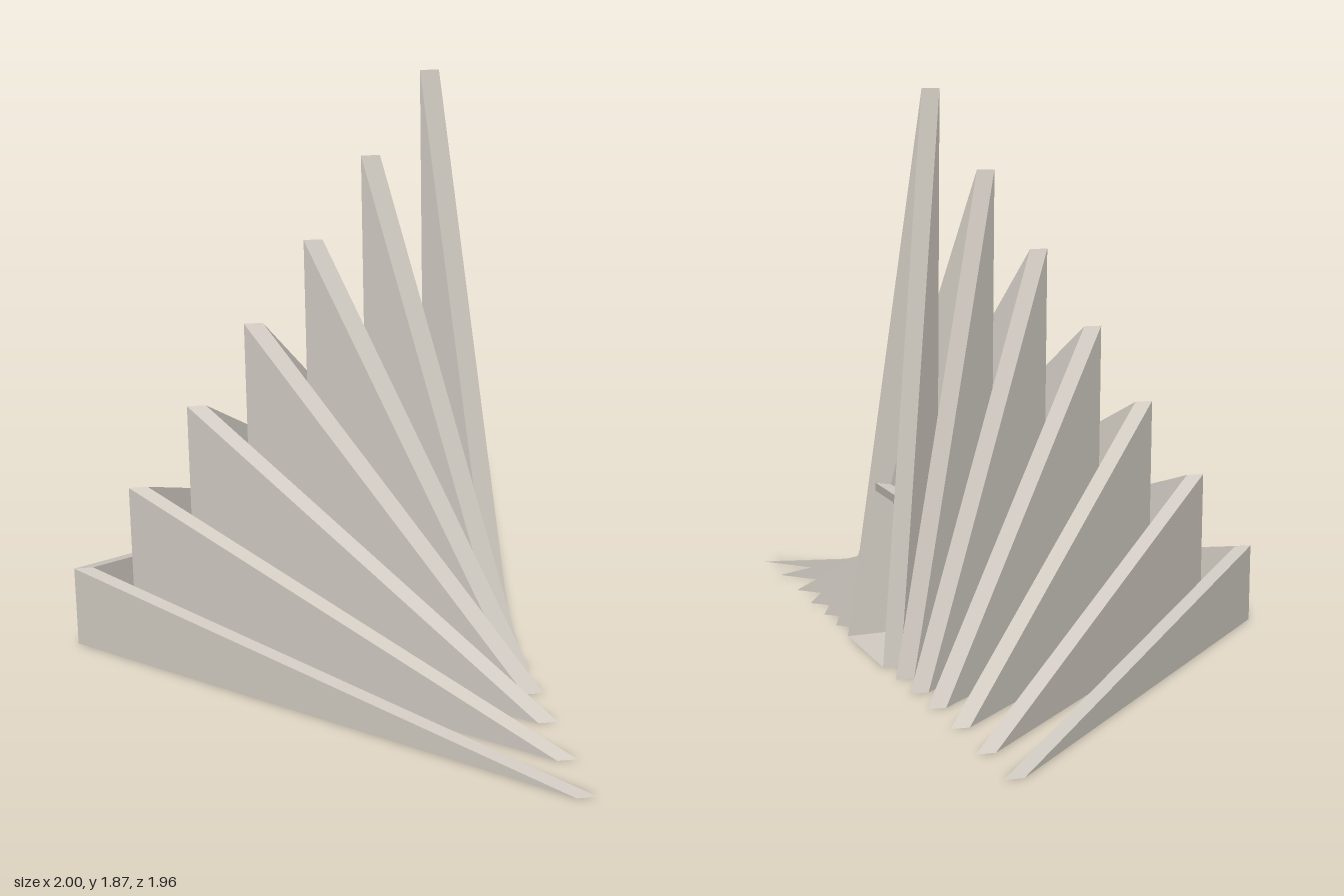
import * as THREE from 'three';

// closed faceted solid from corner points and polygon faces
function solid(points, faces) {
  const pos = [];
  for (const f of faces)
    for (let i = 1; i < f.length - 1; i++)
      pos.push(...points[f[0]], ...points[f[i]], ...points[f[i + 1]]);
  const g = new THREE.BufferGeometry();
  g.setAttribute('position', new THREE.Float32BufferAttribute(pos, 3));
  g.computeVertexNormals();
  return g;
}

// bent sail wall: two triangles sharing a vertical edge, swept diagonally
function wallGeometry([cx, cz], h, [rx, rz], [lx, lz]) {
  const t = 0.043;
  const outer = [[cx, 0, cz], [cx, h, cz], [rx, 0, rz], [lx, 0, lz]];
  const inner = outer.map(([x, y, z]) => [x + t, y, z - t]);
  return solid([...outer, ...inner], [
    [0, 2, 1], [0, 1, 3],             // outer faces
    [4, 5, 6], [4, 7, 5],             // inner faces
    [1, 2, 6, 5], [1, 5, 7, 3],       // sloping tops
    [0, 4, 6, 2], [0, 3, 7, 4],       // undersides
  ]);
}

export function createModel() {
  const group = new THREE.Group();
  const stone = new THREE.MeshStandardMaterial({ color: 0xd0cac1 });
  stone.name = 'paleStone';
  stone.flatShading = true;
  const add = (name, geometry) => {
    const m = new THREE.Mesh(geometry, stone);
    m.name = name;
    group.add(m);
  };

  // nested walls: corner, right arm end, left arm end (x, z)
  const walls = [
    [[-0.96, 0.977], [0.956, 0.917], [-1.0, -0.943]],
    [[-0.83, 0.839], [0.788, 0.76], [-0.835, -0.786]],
    [[-0.693, 0.695], [0.609, 0.59], [-0.664, -0.615]],
    [[-0.56, 0.555], [0.464, 0.45], [-0.513, -0.477]],
    [[-0.423, 0.41], [0.338, 0.336], [-0.391, -0.363]],
    [[-0.292, 0.272], [0.226, 0.231], [-0.277, -0.248]],
    [[-0.16, 0.131], [0.118, 0.127], [-0.174, -0.148]],
  ];
  walls.forEach(([c, r, l], i) => add('wall' + (i + 1), wallGeometry(c, 0.267 * (i + 1), r, l)));

  // low sloping floor in the innermost corner
  add('nicheFloor', solid(
    [[-0.118, 0, 0.087], [-0.118, 0.065, 0.087], [0.16, 0, 0.084], [-0.131, 0, -0.19]],
    [[1, 2, 3], [0, 3, 2], [0, 2, 1], [0, 1, 3]]));

  // diamond infill set into the corner
  add('cornerInfill', solid(
    [[-0.118, 0.976, 0.087], [0, 0.53, 0.087], [-0.12, 0.53, -0.012], [-0.118, 0.16, 0.087]],
    [[0, 1, 2], [3, 2, 1], [0, 3, 1], [0, 2, 3]]));

  // thin triangular shelf
  const plan = [[-0.118, 0.087], [0.055, 0.087], [-0.122, -0.082]];
  add('shelf', solid(
    [...plan.map(([x, z]) => [x, 0.52, z]), ...plan.map(([x, z]) => [x, 0.547, z])],
    [[3, 4, 5], [0, 2, 1], [0, 1, 4, 3], [1, 2, 5, 4], [2, 0, 3, 5]]));

  return group;
}
